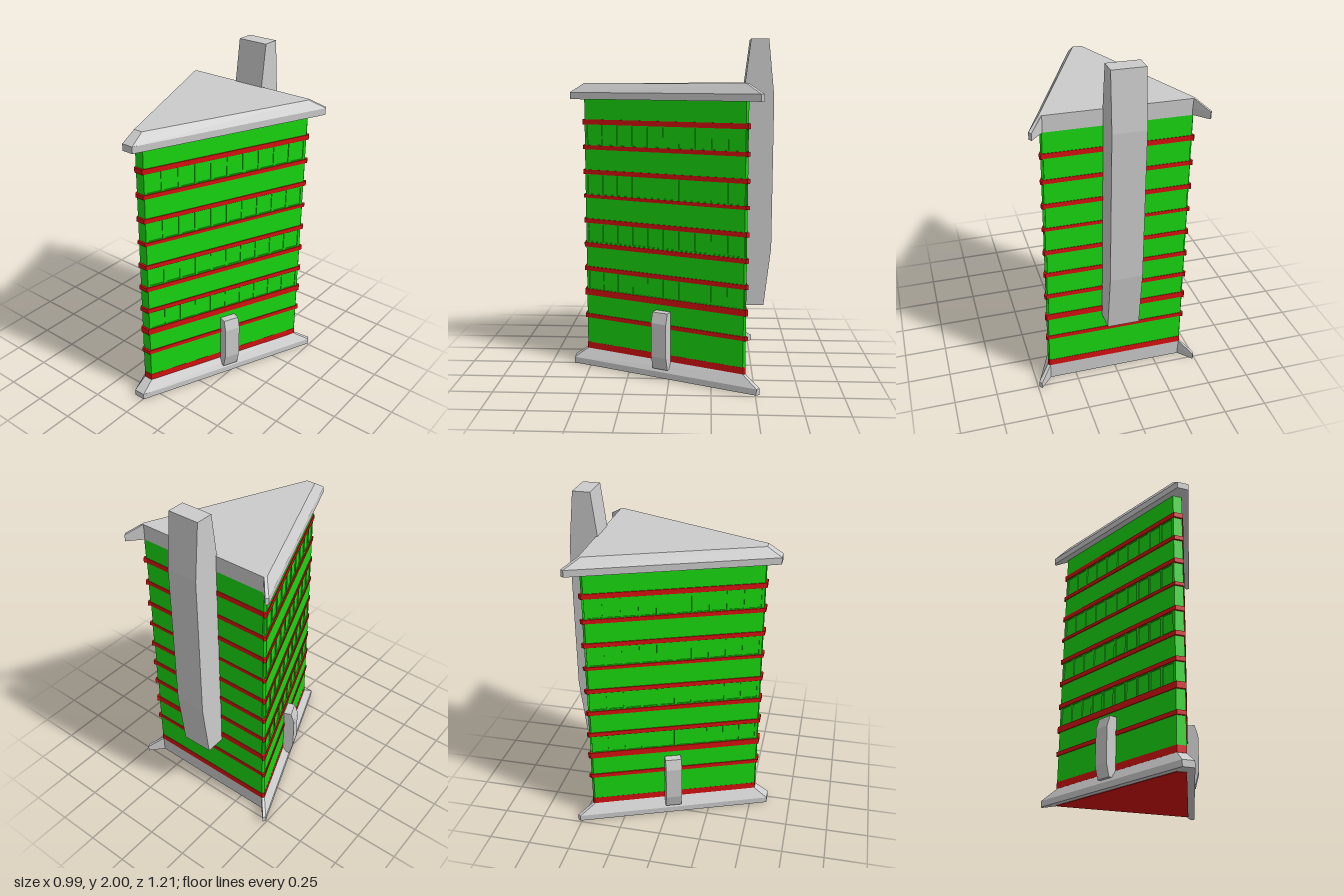
import * as THREE from 'three';

const mat = (color) => new THREE.MeshStandardMaterial({ color, flatShading: true });

// Plan outline [x, z] at the wall line and at the outer edge of the ledges
const WALL = [[0, 0.52], [0.42, -0.43], [0.412, -0.445], [0.408, -0.445],
  [-0.412, -0.445], [-0.416, -0.445], [-0.424, -0.43], [-0.055, 0.52]];
const LEDGE = [[0.007, 0.605], [0.492, -0.505], [0.48, -0.525], [0.408, -0.445],
  [-0.412, -0.445], [-0.484, -0.525], [-0.495, -0.508], [-0.063, 0.605]];

// Plan blended between wall (t = 0) and ledge (t = 1), with the back face shifted by back
const plan = (t, back) => WALL.map(([x, z], i) => [
  x + (LEDGE[i][0] - x) * t,
  z + (LEDGE[i][1] - z) * t - (i === 3 || i === 4 ? back : 0),
]);

// Closed solid through a list of [y, t] levels
function loft(levels, back = 0) {
  const rings = levels.map(([y, t]) => plan(t, back).map(([x, z]) => new THREE.Vector3(x, y, z)));
  const pts = [];
  for (let k = 0; k < rings.length - 1; k++) {
    const lo = rings[k], hi = rings[k + 1];
    lo.forEach((a, i) => {
      const j = (i + 1) % lo.length;
      pts.push(a, lo[j], hi[j], a, hi[j], hi[i]);
    });
  }
  const cap = (ring, up) => {
    const flat = ring.map((p) => new THREE.Vector2(p.x, -p.z));
    for (const [a, b, c] of THREE.ShapeUtils.triangulateShape(flat, [])) {
      pts.push(ring[a], ring[up ? b : c], ring[up ? c : b]);
    }
  };
  cap(rings[0], false);
  cap(rings[rings.length - 1], true);
  const geo = new THREE.BufferGeometry().setFromPoints(pts);
  geo.computeVertexNormals();
  return geo;
}

// Upright plate: profile of [outward, y] points, extruded to a centred width
function plate(profile, width) {
  const shape = new THREE.Shape(profile.map(([x, y]) => new THREE.Vector2(x, y)));
  return new THREE.ExtrudeGeometry(shape, { depth: width, bevelEnabled: false })
    .translate(0, 0, -width / 2);
}

export function createModel() {
  const model = new THREE.Group();
  const grey = mat(0xcccccc), green = mat(0x18d810), red = mat(0xd81010), blue = mat(0x12a8d8);
  const add = (name, geo, material, parent = model) => {
    const mesh = new THREE.Mesh(geo, material);
    mesh.name = name;
    parent.add(mesh);
    return mesh;
  };

  // Base, floor and roof
  add('base', loft([[0.003, 1], [0.04, 1], [0.1, 0]]), grey);
  add('floor', loft([[0, -0.03], [0.02, -0.03]], -0.004), red);
  add('roof', loft([[1.65, 1], [1.69, 1], [1.745, 0]]), grey);

  // Walls, set back along the window rows
  const rows = [[0.485, 0.595], [0.785, 0.895], [1.08, 1.195], [1.38, 1.495]];
  let y = 0.1;
  for (const [y0, y1] of rows) {
    add('wall', loft([[y, 0], [y0, 0]]), green);
    add('windowCore', loft([[y0, -0.13], [y1, -0.13]]), green);
    const tip = new THREE.BoxGeometry(0.055, y1 - y0, 0.02);
    add('tipPost', tip, green).position.set(-0.0275, (y0 + y1) / 2, 0.51);
    y = y1;
  }
  add('wall', loft([[y, 0], [1.65, 0]]), green);

  // Red bands around the building
  add('bottomBand', loft([[0.1, 0.02], [0.14, 0.02]], 0.002), red);
  const bands = [[0.3, 0.325], [0.445, 0.483], [0.6, 0.627], [0.75, 0.777], [0.9, 0.927],
    [1.055, 1.075], [1.2, 1.227], [1.35, 1.375], [1.5, 1.53]];
  for (const [y0, y1] of bands) add('band', loft([[y0, 0.14], [y1, 0.14]], 0.003), red);

  // Long sides: windows, mullions and fin, in a frame whose x points outward
  const sides = [['left', WALL[0], WALL[1], 1], ['right', WALL[7], WALL[6], -1]];
  for (const [label, a, b, sign] of sides) {
    const dx = b[0] - a[0], dz = b[1] - a[1], length = Math.hypot(dx, dz);
    const side = new THREE.Group();
    side.name = label + 'Side';
    side.position.set(a[0], 0, a[1]);
    side.rotation.y = Math.atan2(-sign * dx, -sign * dz);
    model.add(side);
    const count = 10, post = 0.017, pitch = (length - post) / count;
    for (const [y0, y1] of rows) {
      const h = y1 - y0, mid = (y0 + y1) / 2;
      for (let i = 0; i <= count; i++) {
        const s = post / 2 + i * pitch;
        add('mullion', new THREE.BoxGeometry(0.014, h, post), green, side)
          .position.set(-0.007, mid, -sign * s);
        if (i < count) {
          add('window', new THREE.BoxGeometry(0.008, h - 0.01, pitch - post), blue, side)
            .position.set(-0.01, mid, -sign * (s + pitch / 2));
        }
      }
    }
    const fin = [[-0.005, 0.11], [0.025, 0.06], [0.045, 0.06], [0.066, 0.14],
      [0.066, 0.345], [0.046, 0.408], [-0.005, 0.408]];
    add('sideFin', plate(fin, 0.098), grey, side).position.z = -sign * 0.53;
  }

  // Tall pylon on the back
  const pylon = [[0.438, 0.415], [0.565, 0.415], [0.605, 0.77], [0.605, 1.67],
    [0.57, 2], [0.467, 2], [0.435, 1.74]];
  const tower = add('backPylon', plate(pylon, 0.19), grey);
  tower.rotation.y = Math.PI / 2;
  tower.position.x = -0.01;
  return model;
}
